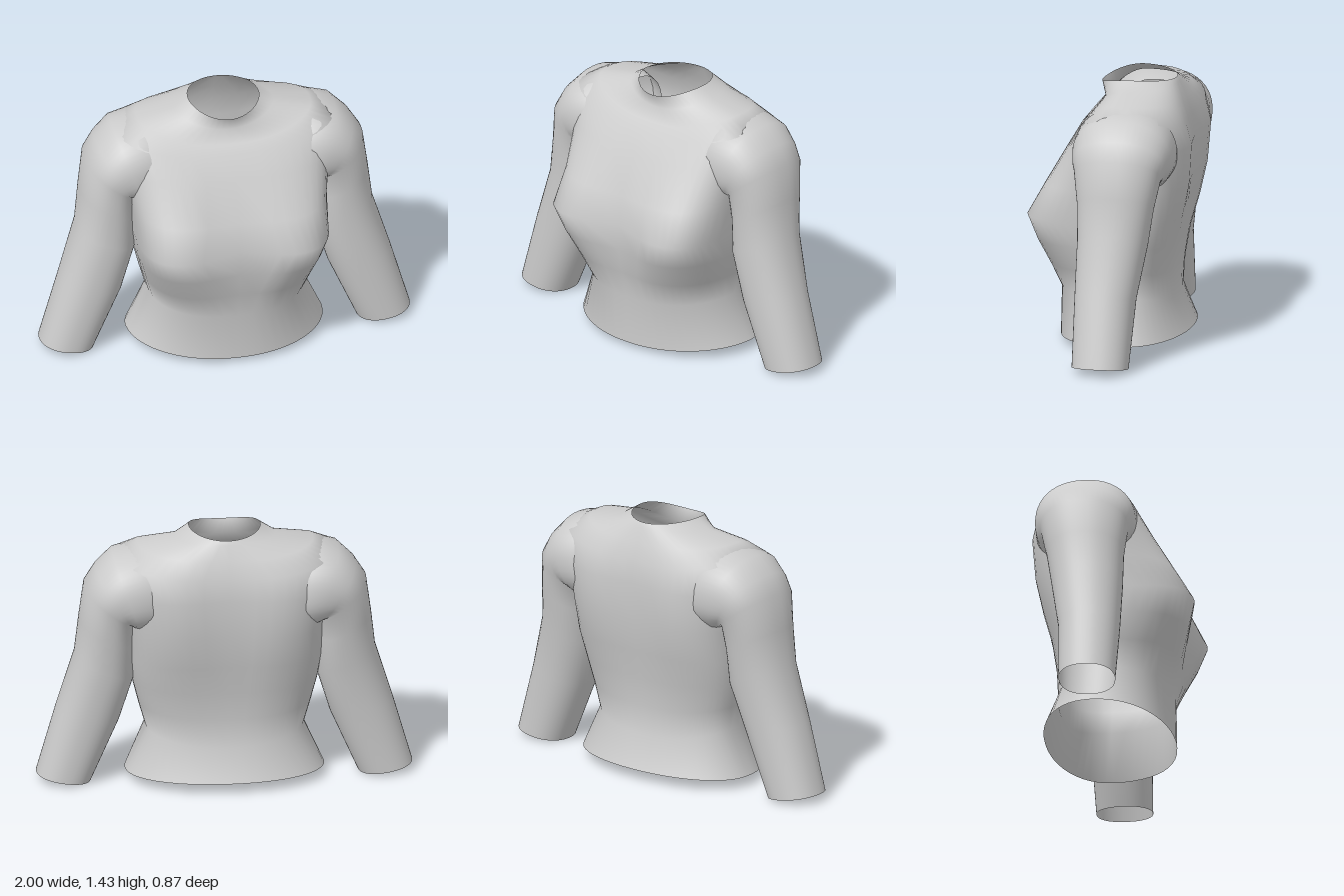
import * as THREE from 'three';

const SEG = 48;

// signed power, for superellipse cross-sections
const spow = (v, p) => Math.sign(v) * Math.abs(v) ** p;

// smooth open tube through rings; ringPoint(ring, angle) returns [x, y, z]
function loft(rings, ringPoint, material, name) {
  const pos = [], idx = [];
  rings.forEach((ring, r) => {
    for (let i = 0; i < SEG; i++) {
      pos.push(...ringPoint(ring, (i / SEG) * Math.PI * 2));
      if (r === 0) continue;
      const j = (i + 1) % SEG, a = (r - 1) * SEG, b = r * SEG;
      idx.push(a + i, a + j, b + i, a + j, b + j, b + i);
    }
  });
  const geo = new THREE.BufferGeometry();
  geo.setAttribute('position', new THREE.Float32BufferAttribute(pos, 3));
  geo.setIndex(idx);
  geo.computeVertexNormals();
  const mesh = new THREE.Mesh(geo, material);
  mesh.name = name;
  return mesh;
}

// hem to collar: half width, front z, back z, front y, side y, back y,
// front and back roundness (2 = ellipse), centre dip in front and at back
const BODY = [
  [0.53, 0.305, -0.395, 0.03, 0.06, 0.065, 2.1, 2.1, 0, 0],
  [0.42, 0.30, -0.315, 0.29, 0.30, 0.24, 2.4, 2.3, 0, 0],
  [0.46, 0.365, -0.325, 0.44, 0.44, 0.40, 2.8, 2.4, 0.03, 0.01],
  [0.495, 0.42, -0.35, 0.58, 0.58, 0.56, 3.5, 2.6, 0.06, 0.02],
  [0.515, 0.455, -0.395, 0.72, 0.72, 0.72, 4.6, 2.8, 0.095, 0.03],
  [0.525, 0.365, -0.437, 0.88, 0.90, 0.90, 3.6, 2.9, 0.035, 0.045],
  [0.56, 0.235, -0.452, 1.09, 1.12, 1.11, 3.2, 2.9, 0, 0.05],
  [0.59, 0.16, -0.415, 1.21, 1.30, 1.23, 2.9, 2.8, 0, 0.03],
  [0.47, 0.12, -0.365, 1.25, 1.355, 1.32, 2.5, 2.5, 0, 0.01],
  [0.27, 0.07, -0.32, 1.315, 1.385, 1.40, 2.1, 2.1, 0, 0],
  [0.19, 0.095, -0.305, 1.39, 1.433, 1.42, 2, 2, 0, 0],
];

function bodyPoint([w, zf, zb, yf, ys, yb, nf, nb, dipF, dipB], a) {
  const s = Math.sin(a), c = Math.cos(a), mid = -0.09;
  const [zEnd, yEnd, n, dip] = c > 0 ? [zf, yf, nf, dipF] : [zb, yb, nb, dipB];
  const x = w * spow(s, 2 / n);
  const centre = Math.exp(-((x / 0.19) ** 2));
  const z = mid + (zEnd - mid) * Math.abs(c) ** (2 / n) - dip * centre * c;
  return [x, ys + (yEnd - ys) * c * c, z];
}

// cuff to shoulder: outer x, outer y, inner x, inner y, front z, back z;
// the last rings sink inside the body so the shoulder blends in
const SLEEVE = [
  [1.00, 0.05, 0.71, 0.005, 0.08, -0.22],
  [0.895, 0.42, 0.56, 0.35, 0.09, -0.235],
  [0.80, 0.73, 0.485, 0.60, 0.095, -0.28],
  [0.777, 0.93, 0.485, 0.79, 0.10, -0.31],
  [0.75, 1.125, 0.48, 0.92, 0.12, -0.345],
  [0.69, 1.22, 0.47, 0.90, 0.137, -0.365],
  [0.60, 1.31, 0.45, 0.88, 0.15, -0.385],
  [0.46, 1.348, 0.38, 0.88, 0.155, -0.395],
  [0.30, 1.32, 0.28, 0.95, 0.06, -0.32],
];

const sleevePoint = (side) => ([ox, oy, ix, iy, zf, zb], angle) => {
  const a = -angle * side;
  const u = (spow(Math.cos(a), 0.9) + 1) / 2, v = (spow(Math.sin(a), 0.9) + 1) / 2;
  return [side * (ix + (ox - ix) * u), iy + (oy - iy) * u, zb + (zf - zb) * v];
};

export function createModel() {
  const cloth = new THREE.MeshStandardMaterial({ color: 0xcccccc });
  cloth.name = 'light grey cloth';
  cloth.side = THREE.DoubleSide;

  const shirt = new THREE.Group();
  shirt.name = 'shirt';
  shirt.add(loft(BODY, bodyPoint, cloth, 'body'));
  shirt.add(loft(SLEEVE, sleevePoint(1), cloth, 'leftSleeve'));
  shirt.add(loft(SLEEVE, sleevePoint(-1), cloth, 'rightSleeve'));
  return shirt;
}
